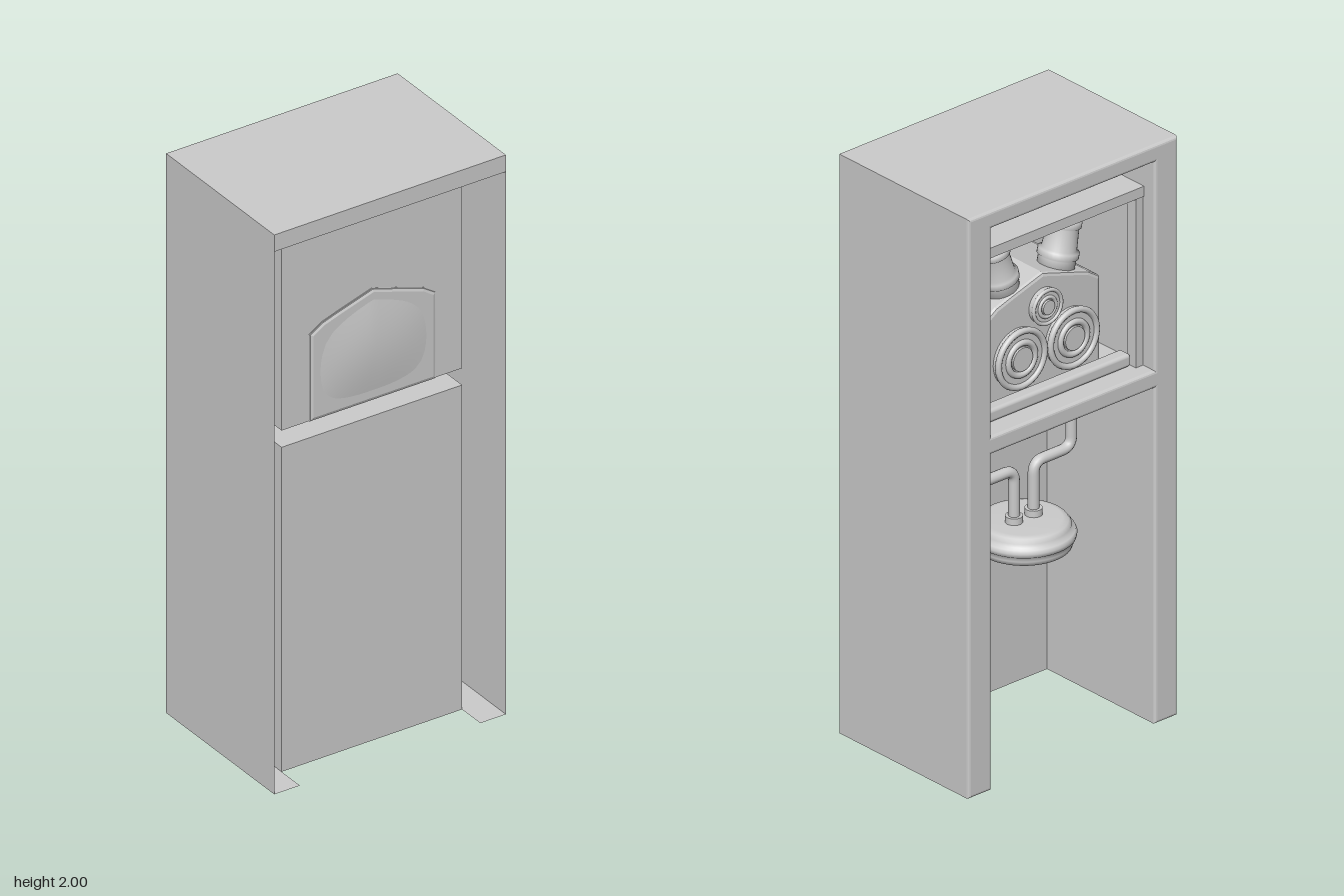
import * as THREE from 'three';
import { RoundedBoxGeometry } from 'three/addons/geometries/RoundedBoxGeometry.js';

const W = 0.43, IN = 0.335, BACK = -0.3, FRONT = 0.3, PANEL = 0.2;
const grey = new THREE.MeshStandardMaterial({ color: 0xcccccc, side: THREE.DoubleSide });

export function createModel() {
  const model = new THREE.Group();

  const add = (name, geometry, x = 0, y = 0, z = 0, parent = model) => {
    const mesh = new THREE.Mesh(geometry, grey);
    mesh.name = name;
    mesh.position.set(x, y, z);
    parent.add(mesh);
    return mesh;
  };
  // Thin sheets, given by their extents
  const sideSheet = (name, x, y0, y1, z0, z1) =>
    add(name, new THREE.PlaneGeometry(z1 - z0, y1 - y0).rotateY(Math.PI / 2), x, (y0 + y1) / 2, (z0 + z1) / 2);
  const flatSheet = (name, y, x0, x1, z0, z1) =>
    add(name, new THREE.PlaneGeometry(x1 - x0, z1 - z0).rotateX(-Math.PI / 2), (x0 + x1) / 2, y, (z0 + z1) / 2);
  const uprightSheet = (name, z, x0, x1, y0, y1) =>
    add(name, new THREE.PlaneGeometry(x1 - x0, y1 - y0), (x0 + x1) / 2, (y0 + y1) / 2, z);

  // Rear frame with a window above and an open bay below
  const bevel = 0.01;
  const outline = [[-W, 0], [-W, 2], [W, 2], [W, 0], [IN, 0], [IN, 1.16], [-IN, 1.16], [-IN, 0]];
  const frame = new THREE.Shape(outline.map(([x, y]) => new THREE.Vector2(x, y)));
  const hole = [[-IN, 1.22], [IN, 1.22], [IN, 1.94], [-IN, 1.94]];
  frame.holes.push(new THREE.Path(hole.map(([x, y]) => new THREE.Vector2(x, y))));
  add('rearFrame', new THREE.ExtrudeGeometry(frame, {
    depth: 0.004, bevelThickness: bevel, bevelSize: bevel, bevelOffset: -bevel, bevelSegments: 3,
  }), 0, 0, BACK + bevel);

  // Hollow cabinet walls, open towards the front
  const rear = BACK + bevel;
  for (const s of [-1, 1]) {
    sideSheet('outerWall', s * W, 0, 2, rear, FRONT);
    sideSheet('innerWallLower', s * IN, 0, 1.16, rear, PANEL);
    sideSheet('innerWallUpper', s * IN, 1.22, 1.94, rear, PANEL);
    flatSheet('wallFoot', 0, Math.min(s * W, s * IN), Math.max(s * W, s * IN), rear, FRONT);
  }
  add('topSlab', new THREE.BoxGeometry(2 * W, 0.06, FRONT - BACK - bevel), 0, 1.97, bevel / 2);
  flatSheet('shelfTop', 1.22, -IN, IN, rear, PANEL);
  flatSheet('shelfUnderside', 1.16, -IN, IN, rear, PANEL);
  uprightSheet('upperPanel', PANEL, -IN, IN, 1.22, 1.94);
  uprightSheet('lowerPanel', PANEL, -IN, IN, 0, 1.16);

  // Trim around the machine compartment
  add('valance', new THREE.BoxGeometry(2 * IN, 0.035, 0.105), 0, 1.822, -0.197);
  for (const s of [-1, 1]) add('trimPost', new THREE.BoxGeometry(0.03, 0.6, 0.04), s * 0.32, 1.52, -0.225);
  add('trayLip', new RoundedBoxGeometry(0.6, 0.045, 0.05, 3, 0.012), 0, 1.243, -0.205);

  // Machine body with a gabled roof and a slightly domed front
  const machine = new THREE.Group();
  machine.name = 'machine';
  model.add(machine);
  const half = [[0.235, 1.22], [0.235, 1.53], [0.19, 1.56], [0.13, 1.58], [0, 1.62]];
  const gable = half.concat(half.slice(0, 4).reverse().map(([x, y]) => [-x, y]));
  const body = new THREE.Shape(gable.map(([x, y]) => new THREE.Vector2(x, y)));
  add('machineBody', new THREE.ExtrudeGeometry(body, { depth: 0.345, bevelEnabled: true,
    bevelThickness: 0.012, bevelSize: 0.012, bevelOffset: -0.012, bevelSegments: 2 }), 0, 0, -0.148, machine);

  const roof = (x) => {
    const a = Math.abs(x);
    for (let i = 1; i < 4; i++) {
      const [x0, y0] = half[i], [x1, y1] = half[i + 1];
      if (a >= x1) return y1 + (y0 - y1) * (a - x1) / (x0 - x1);
    }
    return 1.62;
  };
  const dome = new THREE.PlaneGeometry(0.47, 1, 24, 12);
  const p = dome.attributes.position;
  for (let i = 0; i < p.count; i++) {
    const x = p.getX(i), t = p.getY(i) + 0.5;
    p.setXYZ(i, x, 1.22 + t * (roof(x) - 1.22), PANEL + 0.003 + 0.02 * (1 - (x / 0.235) ** 2) * Math.sin(Math.PI * t));
  }
  dome.computeVertexNormals();
  add('domedFront', dome, 0, 0, 0, machine);

  // Stepped dials on the rear face
  const dial = (name, x, y, r) => {
    const g = new THREE.Group();
    g.name = name;
    g.position.set(x, y, -0.16);
    machine.add(g);
    add('dialPlate', new THREE.CylinderGeometry(r * 0.94, r * 0.94, 0.03, 40).rotateX(Math.PI / 2), 0, 0, -0.005, g);
    add('dialRim', new THREE.TorusGeometry(r * 0.9, r * 0.1, 10, 40), 0, 0, -0.02, g);
    add('dialInnerRing', new THREE.TorusGeometry(r * 0.52, r * 0.1, 10, 32), 0, 0, -0.02, g);
    add('dialHub', new THREE.CylinderGeometry(r * 0.38, r * 0.38, 0.02, 28).rotateX(Math.PI / 2), 0, 0, -0.018, g);
  };
  dial('leftDial', 0.107, 1.367, 0.105);
  dial('rightDial', -0.107, 1.367, 0.105);
  dial('centreDial', 0, 1.51, 0.063);

  // Collared stacks leaning outwards on the roof
  const lathe = (pts, n = 32) => new THREE.LatheGeometry(pts.map(([r, y]) => new THREE.Vector2(r, y)), n);
  const stack = [[0, -0.04], [0.06, -0.04], [0.06, 0.02], [0.066, 0.025], [0.066, 0.045], [0.056, 0.05],
    [0.05, 0.12], [0.056, 0.125], [0.056, 0.145], [0.042, 0.15], [0.04, 0.19], [0, 0.19]];
  for (const s of [-1, 1]) {
    add('roofStack', lathe(stack), s * 0.115, 1.59, -0.09, machine).rotation.z = -s * 0.25;
  }

  // Pipes from the shelf down to the pan
  const Z = -0.07;
  const pipePath = (s) => {
    const pts = [[0.05, 1.18], [0.05, 1.09], [0.195, 1.09], [0.195, 0.92], [0.04, 0.92], [0.04, 0.72]]
      .map(([x, y]) => new THREE.Vector3(s * x, y, Z));
    const path = new THREE.CurvePath();
    let from = pts[0];
    for (let i = 1; i < pts.length - 1; i++) {
      const a = pts[i].clone().add(pts[i - 1].clone().sub(pts[i]).setLength(0.04));
      const b = pts[i].clone().add(pts[i + 1].clone().sub(pts[i]).setLength(0.04));
      path.add(new THREE.LineCurve3(from, a));
      path.add(new THREE.QuadraticBezierCurve3(a, pts[i], b));
      from = b;
    }
    path.add(new THREE.LineCurve3(from, pts[pts.length - 1]));
    return path;
  };
  for (const s of [-1, 1]) {
    add('pipe', new THREE.TubeGeometry(pipePath(s), 90, 0.018, 14));
    add('pipeCap', new THREE.CylinderGeometry(0.018, 0.018, 0.004, 14), s * 0.05, 1.18, Z);
    add('upperCollar', new THREE.CylinderGeometry(0.028, 0.028, 0.025, 20), s * 0.05, 1.148, Z);
    add('lowerCollar', new THREE.CylinderGeometry(0.028, 0.028, 0.025, 20), s * 0.04, 0.75, Z);
  }

  // Round pan with stepped rims and a recessed underside
  const pan = [[0, 0.665], [0.135, 0.665], [0.14, 0.65], [0.15, 0.65], [0.155, 0.665], [0.152, 0.675], [0.163, 0.682],
    [0.165, 0.695], [0.16, 0.706], [0.148, 0.71], [0.148, 0.722], [0.138, 0.735], [0.12, 0.74], [0, 0.74]];
  add('pan', lathe(pan, 48), 0, 0, Z);

  return model;
}
